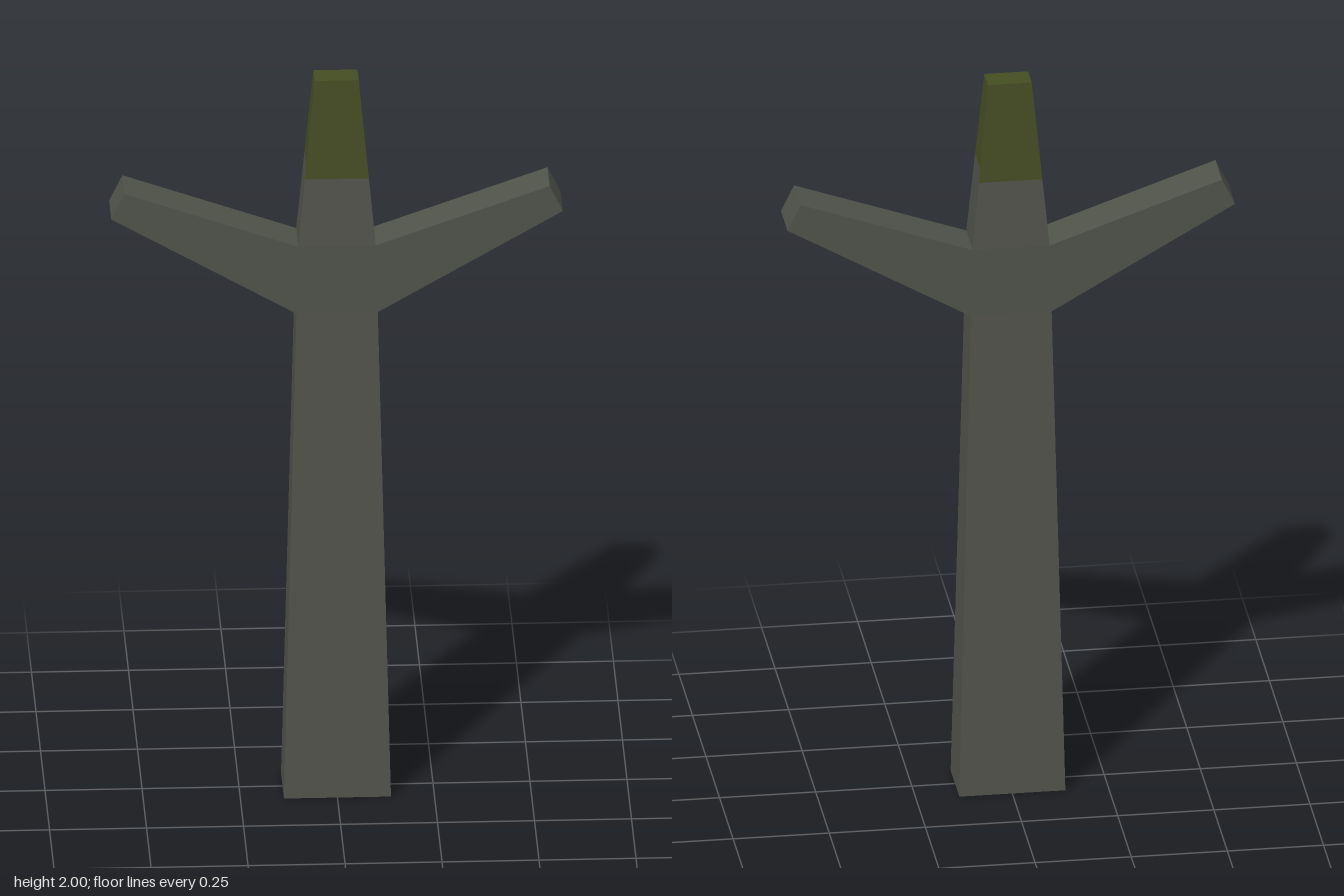
import * as THREE from 'three';

const stone = new THREE.MeshStandardMaterial({ color: 0x50534a, flatShading: true, side: THREE.DoubleSide });
stone.name = 'grey stone';
const moss = new THREE.MeshStandardMaterial({ color: 0x454d22, flatShading: true, side: THREE.DoubleSide });
moss.name = 'olive moss';

// Horizontal rectangle, counter-clockwise from above, starting front left
const ring = (hx, hz, y) => [[-hx, y, hz], [hx, y, hz], [hx, y, -hz], [-hx, y, -hz]];
const mix = (a, b, t) => a.map((v, i) => v + (b[i] - v) * t);

// Mesh from a list of four-cornered faces
function faces(name, material, quads) {
  const points = quads.flatMap(([a, b, c, d]) => [a, b, c, a, c, d]).flat();
  const geometry = new THREE.BufferGeometry();
  geometry.setAttribute('position', new THREE.Float32BufferAttribute(points, 3));
  geometry.computeVertexNormals();
  const mesh = new THREE.Mesh(geometry, material);
  mesh.name = name;
  return mesh;
}

// Walls joining two four-cornered sections
const walls = (a, b) => a.map((p, i) => {
  const j = (i + 1) % 4;
  return [p, a[j], b[j], b[i]];
});

export function createModel() {
  const group = new THREE.Group();
  group.name = 'forkedPost';

  const base = ring(0.138, 0.08, 0);
  const fork = ring(0.105, 0.061, 1.357);
  const neck = ring(0.1, 0.06, 1.545);
  const top = ring(0.057, 0.034, 2);

  // Tapered post, open underneath; the arms take the place of its sides at the fork
  group.add(faces('post', stone, walls(base, fork)));
  group.add(faces('forkBlock', stone, walls(fork, neck).filter((_, i) => i % 2 === 0)));

  // Tip: the moss ends lower on the front and back than on the sides
  const lower = [], upper = [];
  walls(neck, top).forEach(([a, b, c, d], i) => {
    const t = ((i % 2 ? 1.77 : 1.73) - 1.545) / 0.455;
    const left = mix(a, d, t), right = mix(b, c, t);
    lower.push([a, b, right, left]);
    upper.push([left, right, c, d]);
  });
  group.add(faces('tip', stone, lower));
  group.add(faces('mossyTip', moss, [...upper, top]));

  // Mirrored arms, tapering outwards and upwards
  for (const [name, s] of [['leftArm', 1], ['rightArm', -1]]) {
    const section = (xLow, yLow, xHigh, yHigh) => {
      const z = 0.06 * s;
      return [[xLow * s, yLow, z], [xLow * s, yLow, -z], [xHigh * s, yHigh, -z], [xHigh * s, yHigh, z]];
    };
    const root = section(0.105, 1.357, 0.1, 1.545);
    const end = section(0.582, 1.632, 0.548, 1.703);
    group.add(faces(name, stone, [...walls(root, end), end]));
  }
  return group;
}
